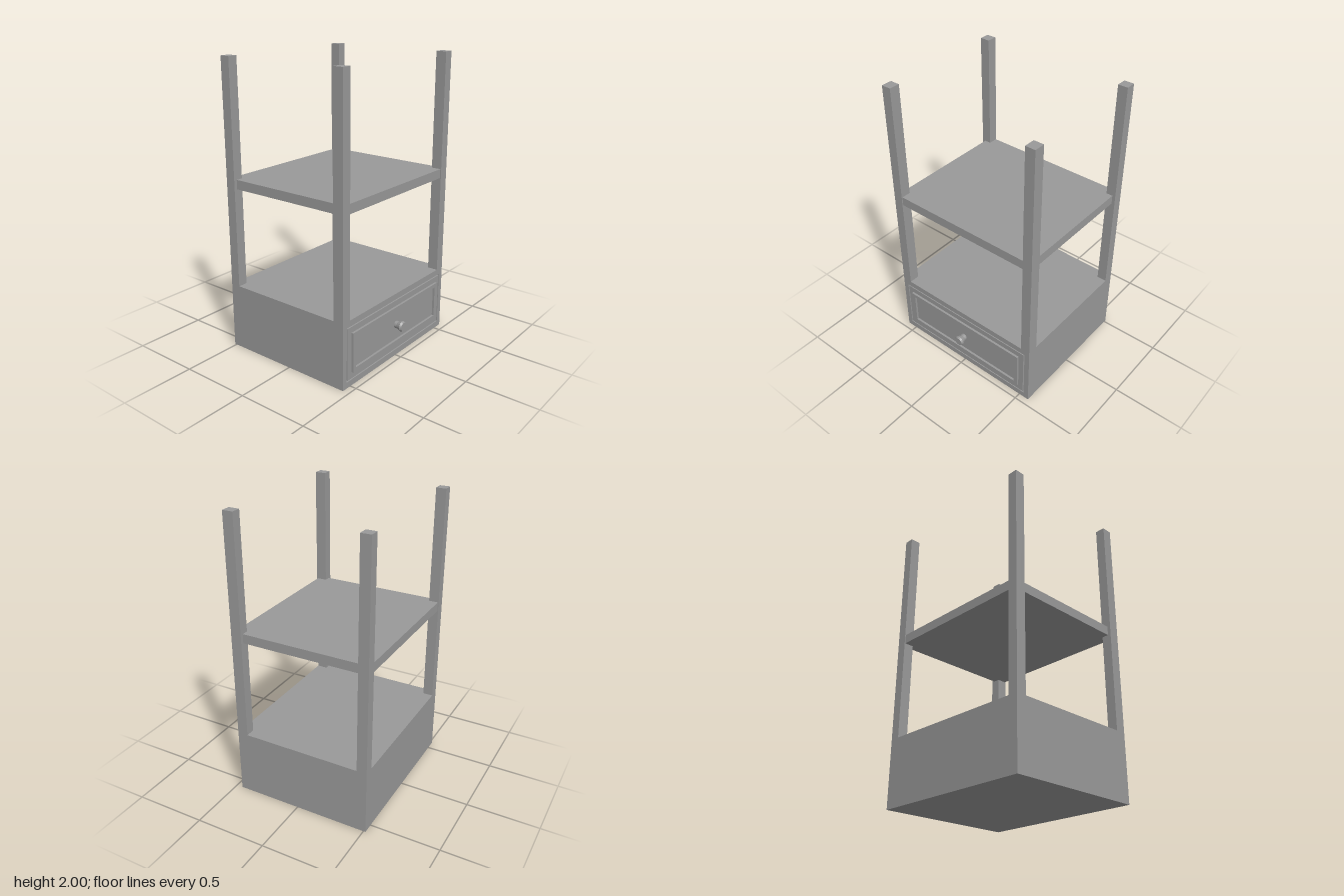
import * as THREE from 'three';

const grey = new THREE.MeshStandardMaterial({ color: 0x999999 });
grey.name = 'plain grey';

// Box given by its limits on each axis
function block(name, [x0, x1], [y0, y1], [z0, z1]) {
  const mesh = new THREE.Mesh(new THREE.BoxGeometry(x1 - x0, y1 - y0, z1 - z0), grey);
  mesh.position.set((x0 + x1) / 2, (y0 + y1) / 2, (z0 + z1) / 2);
  mesh.name = name;
  return mesh;
}

// Upright rectangular frame: outer and inner are [halfWidth, bottom, top]
function frame(name, outer, inner, z0, z1) {
  const corners = ([w, b, t]) => [[-w, b], [w, b], [w, t], [-w, t]].map(p => new THREE.Vector2(...p));
  const shape = new THREE.Shape(corners(outer));
  shape.holes.push(new THREE.Path(corners(inner).reverse()));
  const mesh = new THREE.Mesh(new THREE.ExtrudeGeometry(shape, { depth: z1 - z0, bevelEnabled: false }), grey);
  mesh.position.z = z0;
  mesh.name = name;
  return mesh;
}

export function createModel() {
  const model = new THREE.Group();
  model.name = 'nightstand';
  const W = 0.575, back = -0.515, front = 0.455, baseTop = 0.46;

  // Lower cabinet with an opening for the drawer
  model.add(block('cabinet', [-W, W], [0, baseTop], [back, front - 0.02]));
  model.add(frame('cabinetFront', [W, 0, baseTop], [0.537, 0.042, 0.418], front - 0.02, front));

  // Drawer front with raised moulding
  const drawer = new THREE.Group();
  drawer.name = 'drawer';
  drawer.add(block('drawerFront', [-0.528, 0.528], [0.05, 0.41], [front - 0.02, front]));
  drawer.add(frame('drawerMoulding', [0.489, 0.095, 0.37], [0.461, 0.122, 0.342], front, 0.47));

  // Turned knob
  const profile = [[0.025, 0], [0.025, 0.02], [0.037, 0.05], [0.029, 0.063], [0, 0.063]]
    .map(p => new THREE.Vector2(...p));
  const knobGeometry = new THREE.LatheGeometry(profile, 16).toNonIndexed();
  knobGeometry.computeVertexNormals();
  const knob = new THREE.Mesh(knobGeometry, grey);
  knob.rotation.x = Math.PI / 2;
  knob.position.set(0, 0.232, front - 0.001);
  knob.name = 'knob';
  drawer.add(knob);
  model.add(drawer);

  // Four corner posts
  for (const side of [-1, 1]) {
    const xs = side < 0 ? [-W, -0.507] : [0.507, W];
    const label = side < 0 ? 'Right' : 'Left';
    model.add(block('front' + label + 'Post', xs, [baseTop, 2], [0.381, front]));
    model.add(block('back' + label + 'Post', xs, [baseTop, 2], [back, -0.445]));
  }

  // Open shelf, slightly inset from the posts
  model.add(block('shelf', [-0.553, 0.553], [1.142, 1.206], [-0.51, 0.448]));
  return model;
}
